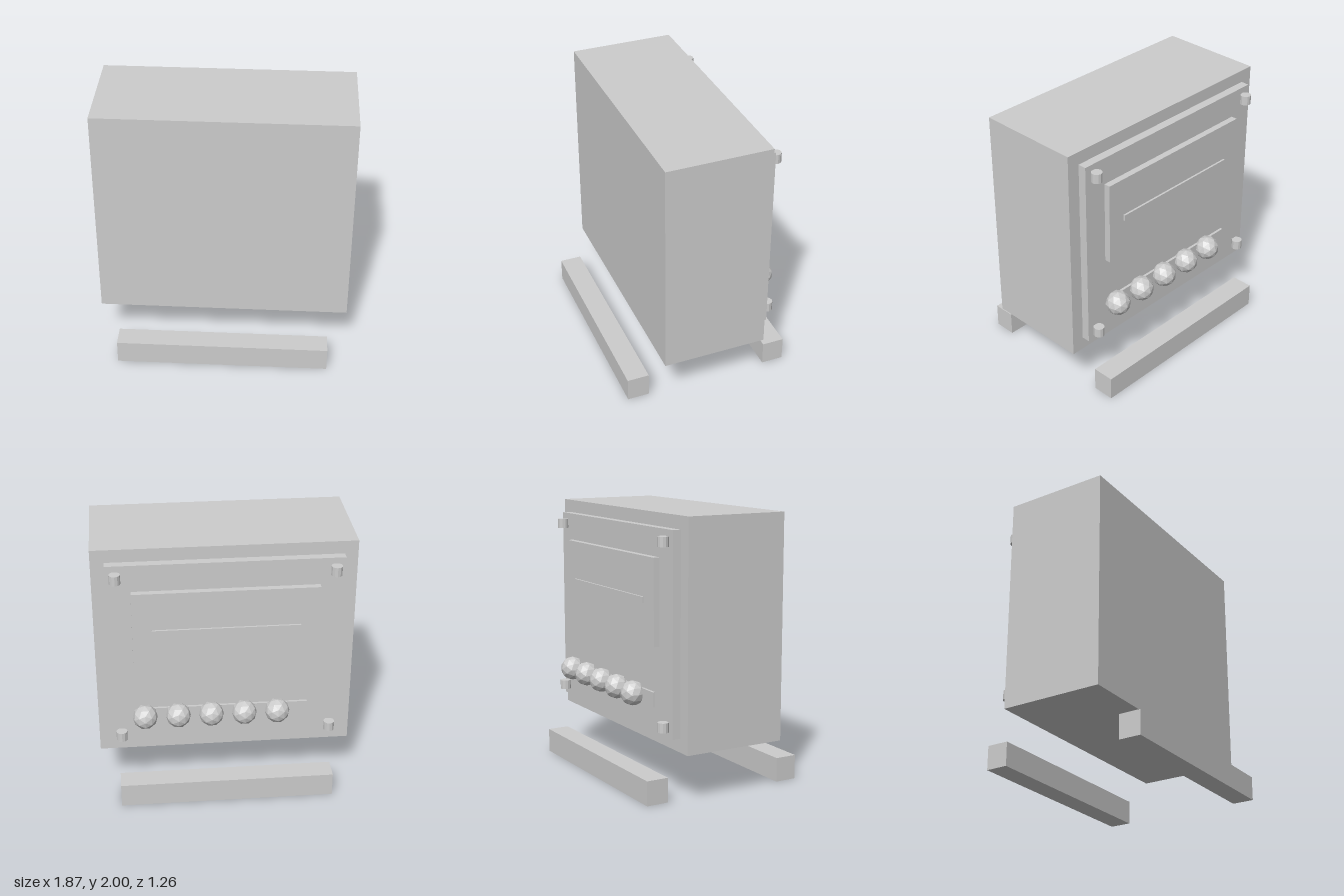
import * as THREE from 'three';

export function createModel() {
  const model = new THREE.Group();
  const grey = new THREE.MeshStandardMaterial({ color: 0xcccccc, flatShading: true });
  grey.name = 'light grey';

  function add(name, geometry, x, y, z) {
    const mesh = new THREE.Mesh(geometry, grey);
    mesh.name = name;
    mesh.position.set(x, y, z);
    model.add(mesh);
  }

  // Box given by its half width and its y and z limits, centred on x
  function slab(name, halfWidth, y0, y1, z0, z1) {
    add(name, new THREE.BoxGeometry(halfWidth * 2, y1 - y0, z1 - z0), 0, (y0 + y1) / 2, (z0 + z1) / 2);
  }

  // Cabinet with stacked plates on its rear face
  slab('cabinet', 0.935, 0.36, 2, -0.39, 0.39);
  slab('rearPanel', 0.84, 0.46, 1.905, -0.453, -0.39);
  slab('raisedPlate', 0.665, 1.085, 1.705, -0.5, -0.453);
  slab('labelStrip', 0.53, 1.375, 1.42, -0.515, -0.5);
  slab('connectorStrip', 0.6, 0.64, 0.75, -0.472, -0.453);

  // Separate floor rails in front and behind
  slab('frontRail', 0.795, 0, 0.18, 0.465, 0.63);
  slab('rearRail', 0.795, 0, 0.18, -0.63, -0.465);

  // Upright corner bolts
  const bolt = new THREE.CylinderGeometry(0.04, 0.04, 0.07, 12);
  for (const x of [-0.77, 0.77]) {
    for (const y of [0.54, 1.825]) add('cornerBolt', bolt, x, y, -0.488);
  }

  // Row of faceted knobs
  const knob = new THREE.IcosahedronGeometry(0.092, 1);
  for (let i = 0; i < 5; i++) add('knob', knob, -0.375 + i * 0.2425, 0.705, -0.508);

  return model;
}
